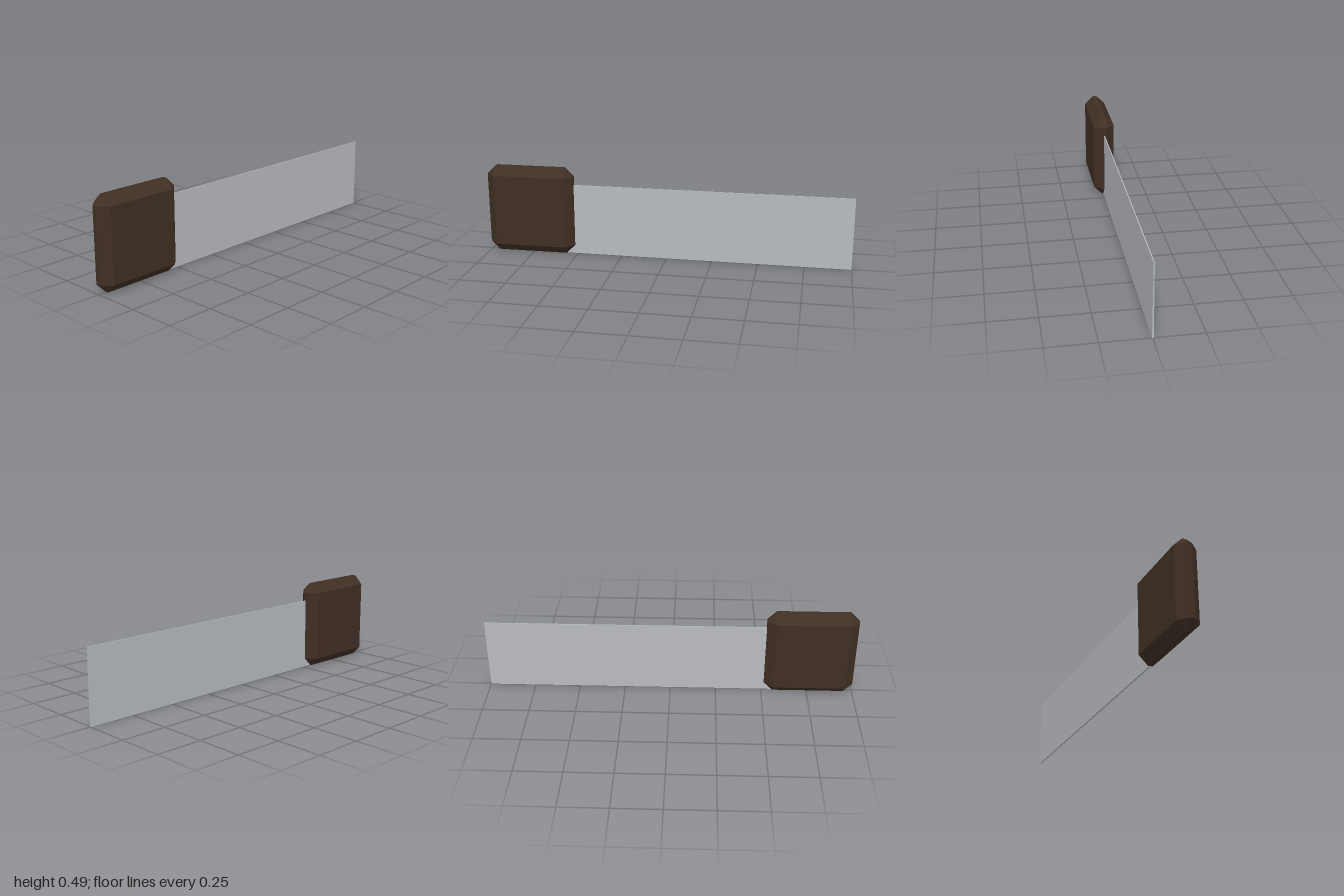
import * as THREE from 'three';
import { ConvexGeometry } from 'three/addons/geometries/ConvexGeometry.js';

// Box with every edge cut at 45 degrees and triangular corners
function chamferedBox(w, h, d, c) {
  const points = [];
  for (const sx of [-1, 1]) for (const sy of [-1, 1]) for (const sz of [-1, 1]) {
    const x = w / 2, y = h / 2, z = d / 2;
    points.push(
      new THREE.Vector3(sx * x, sy * (y - c), sz * (z - c)),
      new THREE.Vector3(sx * (x - c), sy * y, sz * (z - c)),
      new THREE.Vector3(sx * (x - c), sy * (y - c), sz * z)
    );
  }
  return new ConvexGeometry(points);
}

export function createModel() {
  const group = new THREE.Group();
  const wood = new THREE.MeshStandardMaterial({ name: 'dark brown', color: 0x402f24, flatShading: true });
  const steel = new THREE.MeshStandardMaterial({ name: 'steel grey', color: 0xb8bbbf, flatShading: true });

  // Chunky handle block
  const handle = new THREE.Mesh(chamferedBox(0.485, 0.488, 0.12, 0.048), wood);
  handle.name = 'handle';
  handle.position.set(-0.7575, 0.244, 0);
  group.add(handle);

  // Thin blade, slightly thicker along its lower edge
  const left = -0.56, right = 1, height = 0.393;
  const blade = new THREE.BoxGeometry(right - left, height, 1);
  const p = blade.attributes.position;
  for (let i = 0; i < p.count; i++) {
    p.setZ(i, Math.sign(p.getZ(i)) * (p.getY(i) > 0 ? 0.0025 : 0.0042));
  }
  blade.computeVertexNormals();
  const bladeMesh = new THREE.Mesh(blade, steel);
  bladeMesh.name = 'blade';
  bladeMesh.position.set((left + right) / 2, height / 2, 0);
  group.add(bladeMesh);

  return group;
}
